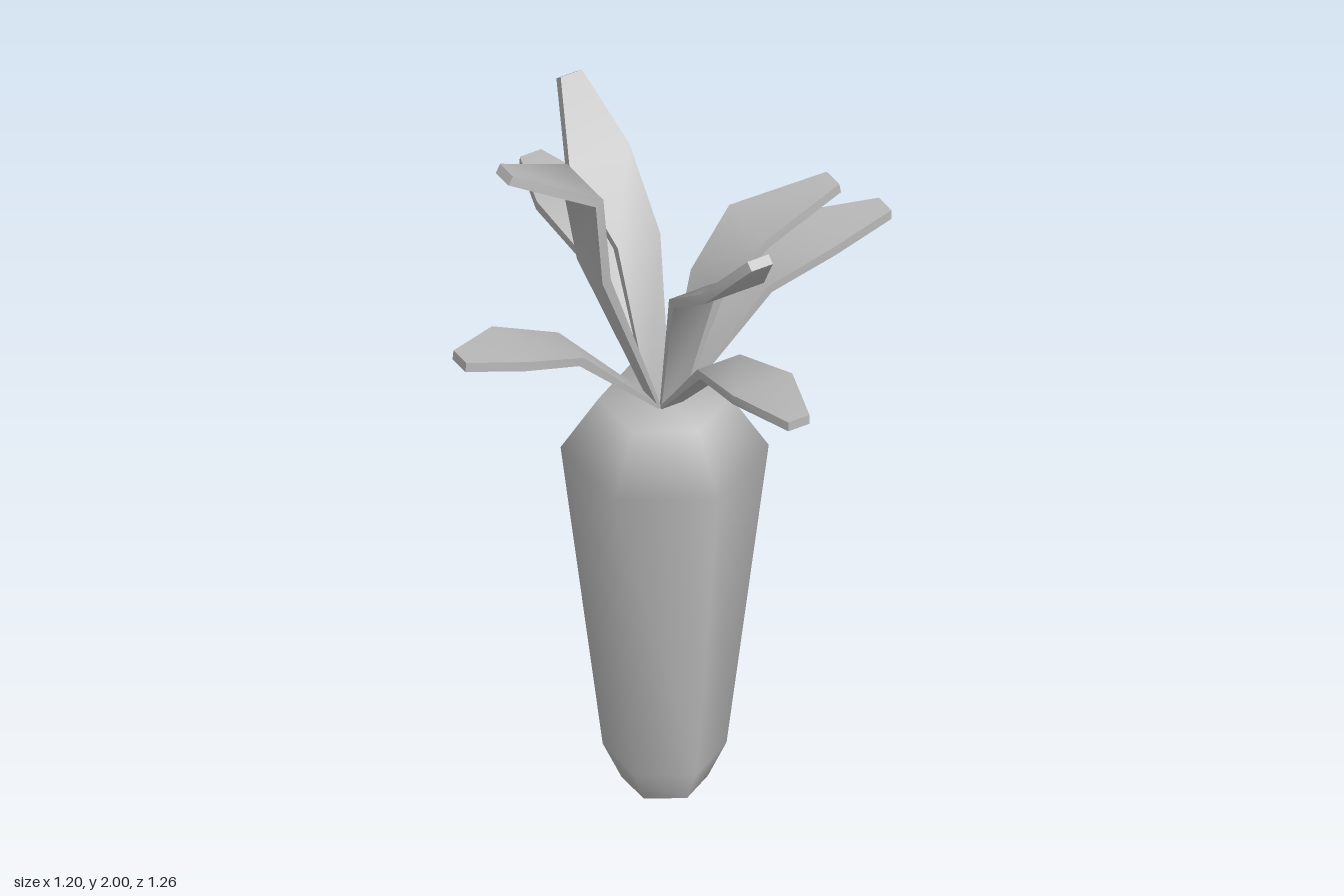
import * as THREE from 'three';
import { toCreasedNormals } from 'three/addons/utils/BufferGeometryUtils.js';

const CENTRE_X = -0.023;

// Leaf running outwards along +x: a rectangular section swept through [distance, height] points
function leafGeometry(path) {
  const halfWidth = [0.03, 0.06, 0.085, 0.03];
  const halfThick = [0.004, 0.012, 0.013, 0.013];
  const pts = path.map(([d, y]) => new THREE.Vector2(d, y));
  const positions = [];
  const index = [];
  pts.forEach((p, i) => {
    const before = pts[Math.max(i - 1, 0)];
    const after = pts[Math.min(i + 1, pts.length - 1)];
    const inDir = p.clone().sub(before).normalize();
    const outDir = after.clone().sub(p).normalize();
    const t = inDir.add(outDir).normalize();
    const h = halfThick[i];
    const w = halfWidth[i];
    for (const [n, s] of [[1, 1], [-1, 1], [-1, -1], [1, -1]]) {
      positions.push(p.x - t.y * h * n, p.y + t.x * h * n, w * s);
    }
  });
  const quad = (a, b, c, d) => index.push(a, b, c, a, c, d);
  for (let i = 0; i < pts.length - 1; i++) {
    for (let k = 0; k < 4; k++) {
      const m = (k + 1) % 4;
      quad(i * 4 + k, i * 4 + m, i * 4 + 4 + m, i * 4 + 4 + k);
    }
  }
  const e = (pts.length - 1) * 4;
  quad(0, 3, 2, 1);
  quad(e, e + 1, e + 2, e + 3);
  const g = new THREE.BufferGeometry();
  g.setAttribute('position', new THREE.Float32BufferAttribute(positions, 3));
  g.setIndex(index);
  return toCreasedNormals(g, Math.PI / 3);
}

export function createModel() {
  const model = new THREE.Group();
  model.name = 'carrot';
  const grey = new THREE.MeshStandardMaterial({ color: 0xb8b8b8 });
  grey.name = 'grey';

  // Six-sided tapering root, pointed towards front and back
  const profile = [[0.105, 0], [0.15, 0.1], [0.252, 0.995], [0.16, 1.14], [0, 1.14]];
  const root = new THREE.Mesh(
    new THREE.LatheGeometry(profile.map(([r, y]) => new THREE.Vector2(r, y)), 6), grey);
  root.name = 'root';
  root.position.x = CENTRE_X;
  model.add(root);

  // Flat underside
  const base = new THREE.Mesh(new THREE.CircleGeometry(0.105, 6, Math.PI / 2), grey);
  base.name = 'rootBase';
  base.rotation.x = Math.PI / 2;
  base.position.x = CENTRE_X;
  model.add(base);

  // Two tiers of leaves, each pointing right, back, left and front by quarter turns
  const lowSide = [[0.03, 1.14], [0.26, 1.40], [0.46, 1.46], [0.63, 1.465]];
  const highSide = [[0.03, 1.14], [0.13, 1.53], [0.315, 1.67], [0.448, 1.832]];
  const leaves = [
    ['lowerLeafLeft', 0, [[0.03, 1.14], [0.26, 1.405], [0.43, 1.472], [0.623, 1.473]]],
    ['lowerLeafBack', 1, lowSide],
    ['lowerLeafRight', 2, [[0.03, 1.14], [0.27, 1.39], [0.44, 1.457], [0.58, 1.473]]],
    ['lowerLeafFront', 3, lowSide],
    ['upperLeafLeft', 0, [[0.03, 1.14], [0.12, 1.44], [0.24, 1.567], [0.478, 1.608]]],
    ['upperLeafBack', 1, highSide],
    ['upperLeafRight', 2, [[0.03, 1.14], [0.2, 1.605], [0.235, 1.87], [0.453, 1.987]]],
    ['upperLeafFront', 3, highSide],
  ];
  for (const [name, turns, path] of leaves) {
    const leaf = new THREE.Mesh(leafGeometry(path), grey);
    leaf.name = name;
    leaf.rotation.y = turns * Math.PI / 2;
    leaf.position.x = CENTRE_X;
    model.add(leaf);
  }
  return model;
}
